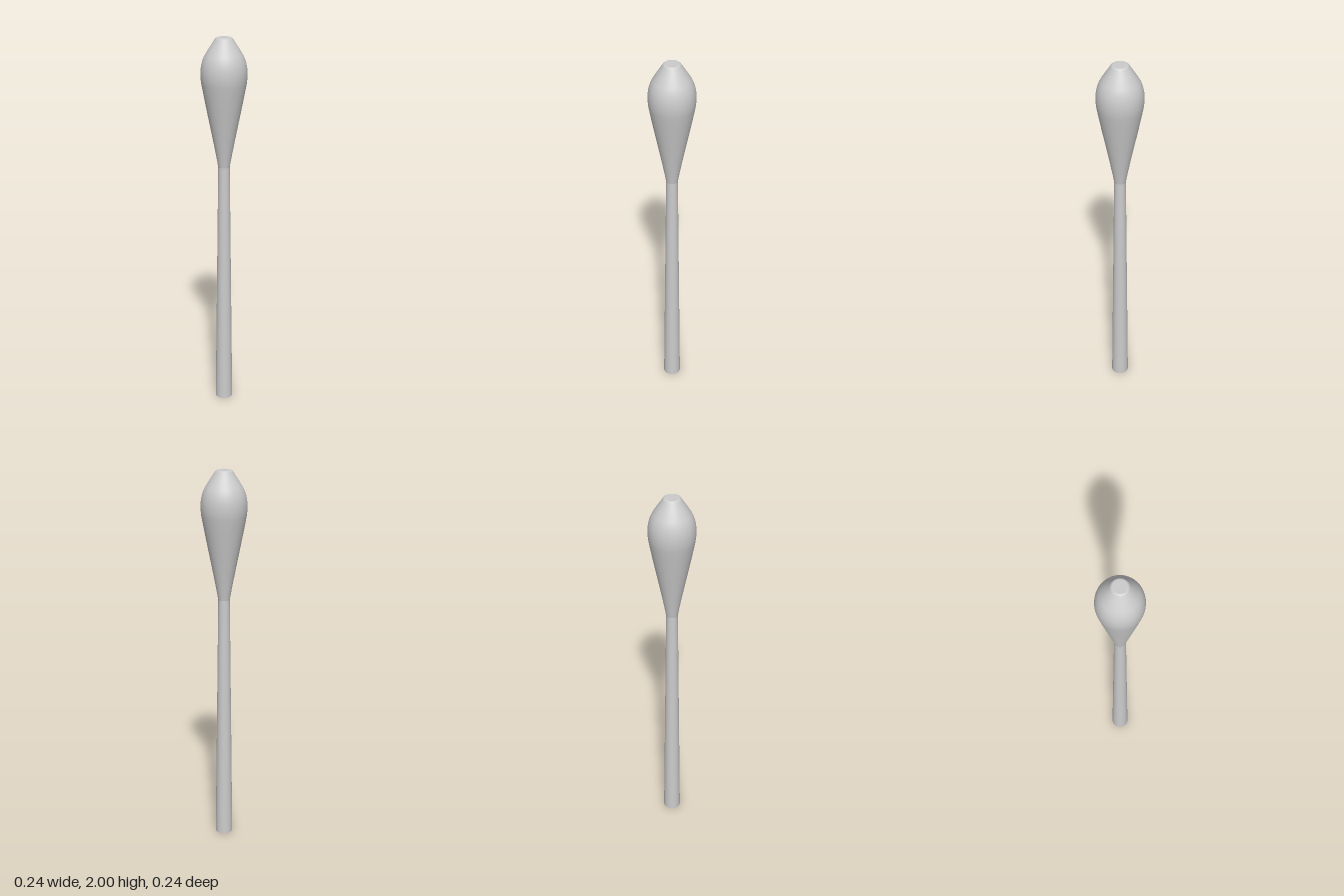
import * as THREE from 'three';

const SIDES = 48;

export function createModel() {
  const group = new THREE.Group();
  const material = new THREE.MeshStandardMaterial({ color: 0xcccccc });

  const add = (name, geometry, y = 0) => {
    const mesh = new THREE.Mesh(geometry, material);
    mesh.name = name;
    mesh.position.y = y;
    group.add(mesh);
  };

  // Slender handle, tapering upwards, closed at the foot
  const neckY = 1.33, neckR = 0.03;
  add('handle', new THREE.CylinderGeometry(neckR, 0.046, neckY, SIDES, 1), neckY / 2);

  // Teardrop head: long cone, rounded shoulder, short cone to a small flat tip
  const profile = new THREE.Path();
  profile.moveTo(neckR, neckY);
  profile.bezierCurveTo(0.044, 1.42, 0.098, 1.67, 0.115, 1.77);
  profile.bezierCurveTo(0.122, 1.82, 0.119, 1.865, 0.1, 1.905);
  profile.bezierCurveTo(0.085, 1.933, 0.063, 1.965, 0.047, 1.99);
  profile.quadraticCurveTo(0.041, 2, 0.034, 2);
  profile.lineTo(0, 2);
  add('head', new THREE.LatheGeometry(profile.getPoints(10), SIDES));

  return group;
}
